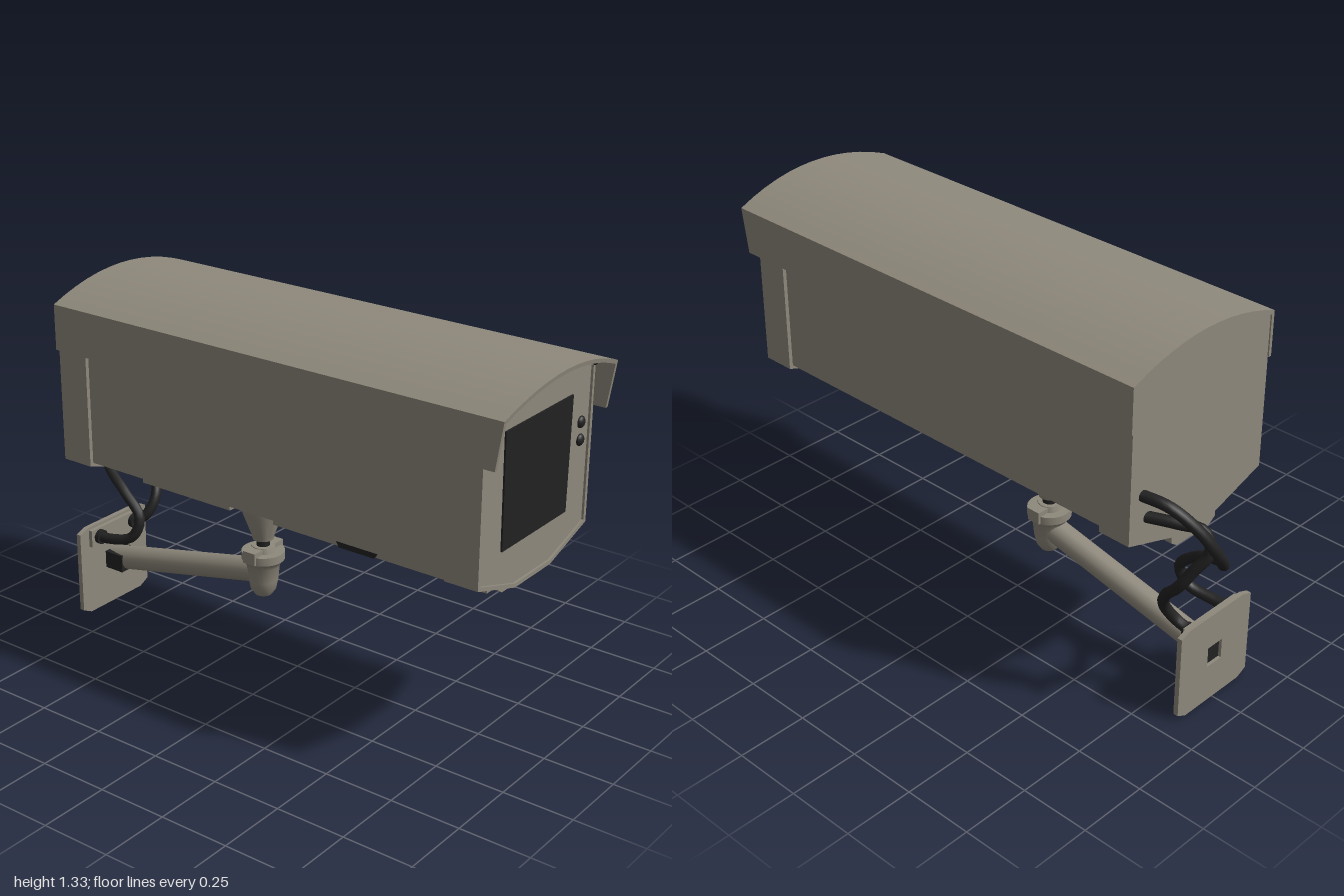
import * as THREE from 'three';
import { toCreasedNormals } from 'three/addons/utils/BufferGeometryUtils.js';

const material = (name, color) => {
  const m = new THREE.MeshStandardMaterial({ color });
  m.name = name;
  return m;
};

export function createModel() {
  const group = new THREE.Group();
  const metal = material('warm grey metal', 0x8f897c);
  const dark = material('black rubber and glass', 0x222222);

  const add = (name, geometry, mat = metal, x = 0, y = 0, z = 0) => {
    const mesh = new THREE.Mesh(geometry, mat);
    mesh.name = name;
    mesh.position.set(x, y, z);
    group.add(mesh);
    return mesh;
  };
  const box = (name, w, h, d, x, y, z, mat = metal) =>
    add(name, new THREE.BoxGeometry(w, h, d), mat, x, y, z);
  const shapeOf = (pts) => new THREE.Shape(pts.map(([x, y]) => new THREE.Vector2(x, y)));
  // Extrudes a front-facing outline between two z positions
  const prism = (shape, z0, z1) => {
    const g = new THREE.ExtrudeGeometry(shape, { depth: z1 - z0, bevelEnabled: false });
    g.translate(0, 0, z0);
    return toCreasedNormals(g, 0.5);
  };
  const lathe = (pts) => toCreasedNormals(
    new THREE.LatheGeometry(pts.map(([r, y]) => new THREE.Vector2(r, y)), 24), 0.6);

  // Arched top edge running from +w to -w
  const arch = (w, edge, top, n = 12) => Array.from({ length: n + 1 }, (_, i) => {
    const t = 1 - (2 * i) / n;
    return [w * t, top - (top - edge) * t * t];
  });
  // Housing section: arched roof, straight sides and sloping belly
  const section = (inset) => [
    [-0.32 + inset, 0.7 + inset * 0.7], [-0.105, 0.63 + inset],
    [0.105, 0.63 + inset], [0.32 - inset, 0.7 + inset * 0.7],
    ...arch(0.32 - inset, 1.25 - inset, 1.312 - inset),
  ];

  // Housing
  add('housingBody', prism(shapeOf(section(0.014)), -0.7, 0.85));
  const rim = shapeOf(section(0));
  rim.holes.push(shapeOf(section(0.014)));
  add('frontCollar', prism(rim, 0.8, 0.92));
  add('frontPanel', prism(shapeOf(section(0.012)), 0.84, 0.912));
  add('rearCap', prism(shapeOf(section(0)), -0.77, -0.65));

  // Sun shield with a raked front edge
  const shield = prism(shapeOf([
    [-0.33, 1.1], [-0.318, 1.1], ...arch(0.318, 1.25, 1.313).reverse(),
    [0.318, 1.1], [0.33, 1.1], ...arch(0.33, 1.26, 1.327),
  ]), -0.775, 1);
  const p = shield.attributes.position;
  for (let i = 0; i < p.count; i++) {
    if (p.getZ(i) > 0) p.setZ(i, 1 - (1.327 - p.getY(i)) * 0.155);
  }
  add('sunShield', toCreasedNormals(shield, 0.5));

  // Belly channel and mounting rails
  add('bellyChannel', prism(shapeOf(
    [[-0.08, 0.585], [0.08, 0.585], [0.108, 0.605], [0.108, 0.65], [-0.108, 0.65], [-0.108, 0.605]]),
  -0.765, 0.86));
  box('frontRail', 0.14, 0.03, 0.85, 0, 0.573, 0.375);
  box('rearRail', 0.14, 0.03, 0.4, 0, 0.573, -0.44);
  for (const s of [-1, 1]) {
    add('bellySlot', prism(shapeOf([[-0.1, 0.63], [-0.07, 0.58], [0.07, 0.58], [0.1, 0.63]]), 0, 0.008),
      dark, s * 0.109, 0, 0.33).rotation.y = s * Math.PI / 2;
  }

  // Window and front fittings
  add('window', prism(shapeOf([[-0.188, 0.78], [0.188, 0.78], [0.195, 1.17], [-0.195, 1.17]]), 0.91, 0.918), dark);
  for (const y of [1.0, 1.06]) {
    const screw = add('frontScrew', new THREE.SphereGeometry(0.02, 14, 10), dark, 0.258, y, 0.914);
    screw.scale.z = 0.6;
  }
  box('sideLatch', 0.03, 0.045, 0.04, -0.308, 1.145, 0.915, dark);
  add('shieldScrew', new THREE.SphereGeometry(0.01, 10, 8), dark, 0.31, 1.245, 0.922);

  // Pivot: mounting cone, neck and cup
  const pz = -0.15;
  add('mountCone', lathe([[0, 0.455], [0.037, 0.455], [0.04, 0.47], [0.073, 0.56], [0.075, 0.59], [0, 0.59]]),
    metal, 0, 0, pz);
  add('pivotNeck', new THREE.CylinderGeometry(0.024, 0.024, 0.1, 16), dark, 0, 0.42, pz);
  add('pivotCup', lathe([
    [0, 0.24], [0.03, 0.243], [0.045, 0.265], [0.052, 0.3], [0.058, 0.355], [0.068, 0.372],
    [0.076, 0.38], [0.076, 0.41], [0.045, 0.41], [0.04, 0.43], [0, 0.43],
  ]), metal, 0, 0, pz);
  box('cupClamp', 0.16, 0.045, 0.05, 0, 0.405, pz);

  // Sloping arm
  const armPath = new THREE.LineCurve3(new THREE.Vector3(0, 0.327, -0.17), new THREE.Vector3(0, 0.178, -0.862));
  add('arm', new THREE.TubeGeometry(armPath, 1, 0.044, 20));
  box('armSocket', 0.094, 0.065, 0.08, 0, 0.183, -0.822, dark);

  // Wall plate with clipped corners and a cable hole
  const plate = shapeOf([
    [-0.135, 0], [0.135, 0], [0.175, 0.02], [0.175, 0.325],
    [0.135, 0.34], [-0.135, 0.34], [-0.175, 0.325], [-0.175, 0.02],
  ]);
  plate.holes.push(shapeOf([[-0.035, 0.14], [-0.035, 0.215], [0.035, 0.215], [0.035, 0.14]]));
  add('wallPlate', prism(plate, -0.88, -0.862));
  box('cableBar', 0.26, 0.065, 0.016, 0, 0.297, -0.855);
  box('holeLining', 0.07, 0.075, 0.006, 0, 0.178, -0.866, dark);

  // Cables looping from the rear cap to the wall plate
  const cable = (name, pts) => {
    const curve = new THREE.CatmullRomCurve3(pts.map((q) => new THREE.Vector3(...q)));
    add(name, new THREE.TubeGeometry(curve, 48, 0.019, 10), dark);
    const [x, y] = pts[pts.length - 1];
    add('cableGland', new THREE.CylinderGeometry(0.027, 0.027, 0.03, 14), dark, x, y, -0.845)
      .rotation.x = Math.PI / 2;
  };
  cable('upperCable', [
    [0.265, 0.86, -0.76], [0.245, 0.85, -0.86], [0.2, 0.78, -0.94], [0.15, 0.69, -0.975],
    [0.08, 0.6, -0.95], [0, 0.54, -0.87], [-0.04, 0.48, -0.76], [-0.05, 0.4, -0.68],
    [-0.07, 0.325, -0.705], [-0.09, 0.3, -0.8], [-0.09, 0.297, -0.86],
  ]);
  cable('lowerCable', [
    [0.24, 0.77, -0.76], [0.2, 0.77, -0.86], [0.16, 0.755, -0.93], [0.16, 0.69, -0.955],
    [0.19, 0.62, -0.92], [0.21, 0.55, -0.88], [0.18, 0.47, -0.81], [0.14, 0.39, -0.775],
    [0.1, 0.32, -0.8], [0.09, 0.297, -0.86],
  ]);

  return group;
}
